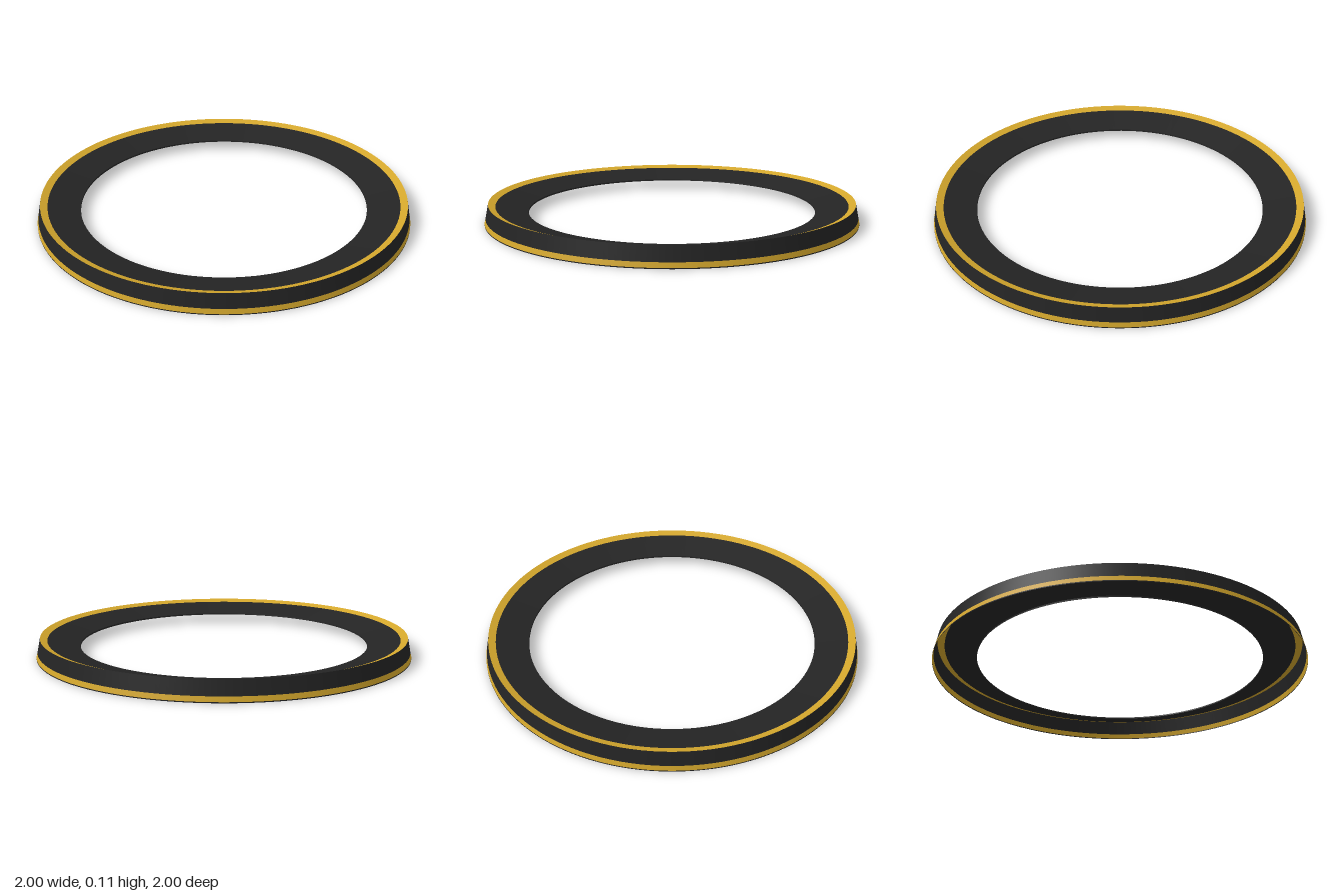
import * as THREE from 'three';

const SEGMENTS = 128;

export function createModel() {
  const group = new THREE.Group();
  group.name = 'trimRing';

  const black = new THREE.MeshStandardMaterial({ color: 0x242424, side: THREE.DoubleSide });
  black.name = 'black';
  const gold = new THREE.MeshStandardMaterial({ color: 0xd4a72c, side: THREE.DoubleSide });
  gold.name = 'gold';

  // One revolved band of the thin, open-bottomed shell; [radius, height] pairs
  const band = (name, material, from, to) => {
    const points = [new THREE.Vector2(...from), new THREE.Vector2(...to)];
    const mesh = new THREE.Mesh(new THREE.LatheGeometry(points, SEGMENTS), material);
    mesh.name = name;
    group.add(mesh);
  };

  // Outer wall, from the foot upward
  band('footEdge', black, [1, 0], [1, 0.005]);
  band('lowerGoldStripe', gold, [1, 0.005], [0.994, 0.03]);
  band('outerWall', black, [0.994, 0.03], [0.979, 0.106]);

  // Top, sloping down toward the opening
  band('upperGoldStripe', gold, [0.979, 0.106], [0.941, 0.093]);
  band('innerSlope', black, [0.941, 0.093], [0.769, 0.054]);
  band('innerLip', black, [0.769, 0.054], [0.768, 0.046]);

  return group;
}
